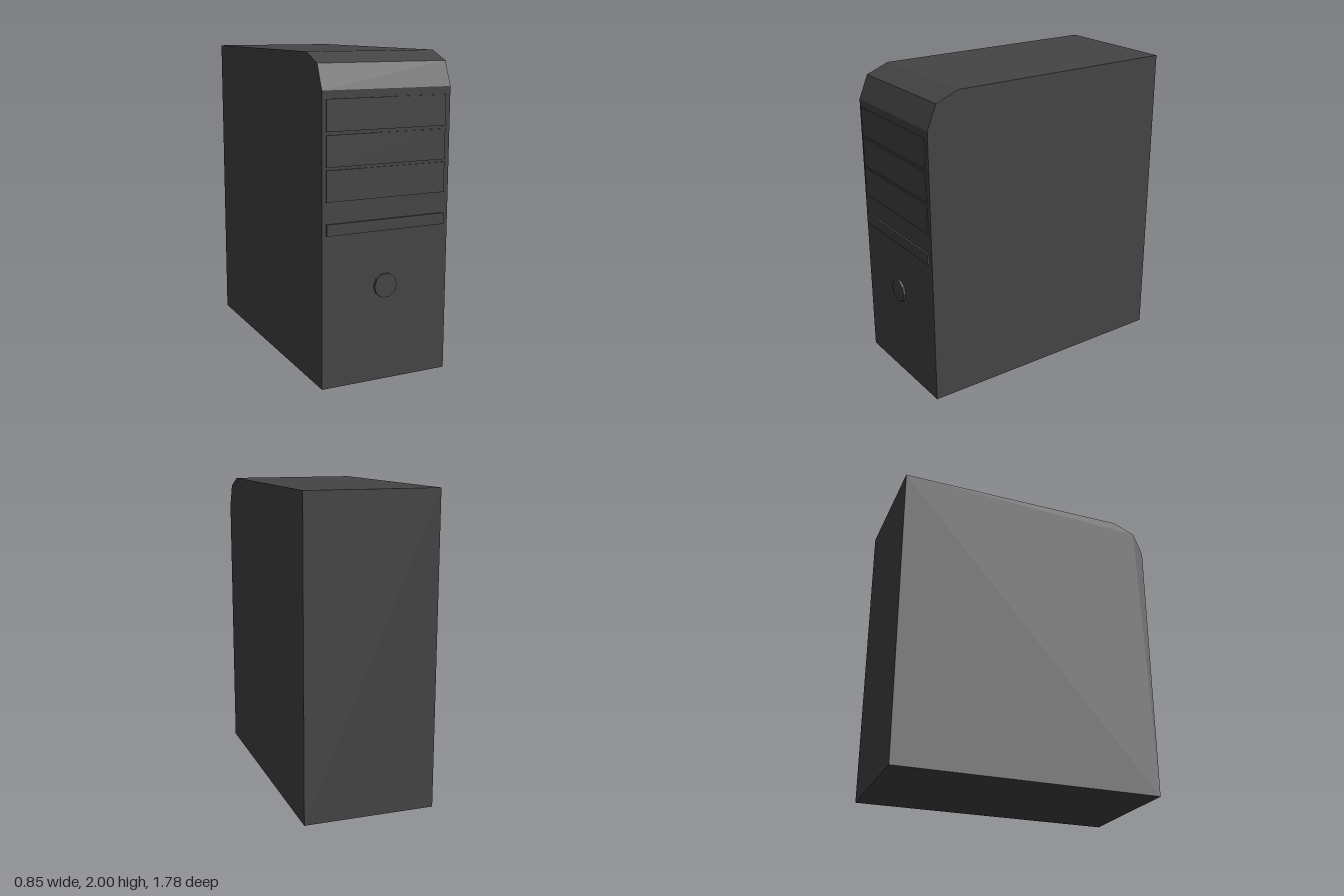
import * as THREE from 'three';

export function createModel() {
  const group = new THREE.Group();
  const charcoal = new THREE.MeshStandardMaterial({ color: 0x444444, flatShading: true });
  charcoal.name = 'charcoal';

  const add = (name, geometry, x, y, z) => {
    const mesh = new THREE.Mesh(geometry, charcoal);
    mesh.name = name;
    mesh.position.set(x, y, z);
    group.add(mesh);
    return mesh;
  };

  const front = 0.873, back = -0.887, width = 0.852;

  // Case: side profile (z, y) with a faceted top front edge, extruded across x
  const profile = new THREE.Shape([
    [back, 0], [front, 0], [front, 1.79], [0.81, 1.94], [0.66, 2], [back, 2],
  ].map(([z, y]) => new THREE.Vector2(-z, y)));
  const caseGeometry = new THREE.ExtrudeGeometry(profile, { depth: width, bevelEnabled: false });
  caseGeometry.translate(0, 0, -width / 2);
  caseGeometry.rotateY(Math.PI / 2);
  add('case', caseGeometry, 0, 0, 0);

  // Front plates: name, bottom, top, how far they stand proud
  const plates = [
    ['upperDriveBay', 1.555, 1.742, 0.007],
    ['middleDriveBay', 1.349, 1.536, 0.007],
    ['lowerDriveBay', 1.146, 1.333, 0.007],
    ['slimDriveSlot', 0.946, 1.016, 0.013],
  ];
  for (const [name, bottom, top, proud] of plates) {
    const depth = proud + 0.02;
    add(name, new THREE.BoxGeometry(0.792, top - bottom, depth),
      -0.003, (bottom + top) / 2, front + proud - depth / 2);
  }

  // Ten-sided power button
  const button = new THREE.CylinderGeometry(0.077, 0.077, 0.036, 10, 1, false, Math.PI / 2);
  button.rotateX(Math.PI / 2);
  add('powerButton', button, -0.007, 0.602, front + 0.016 - 0.018);

  return group;
}
